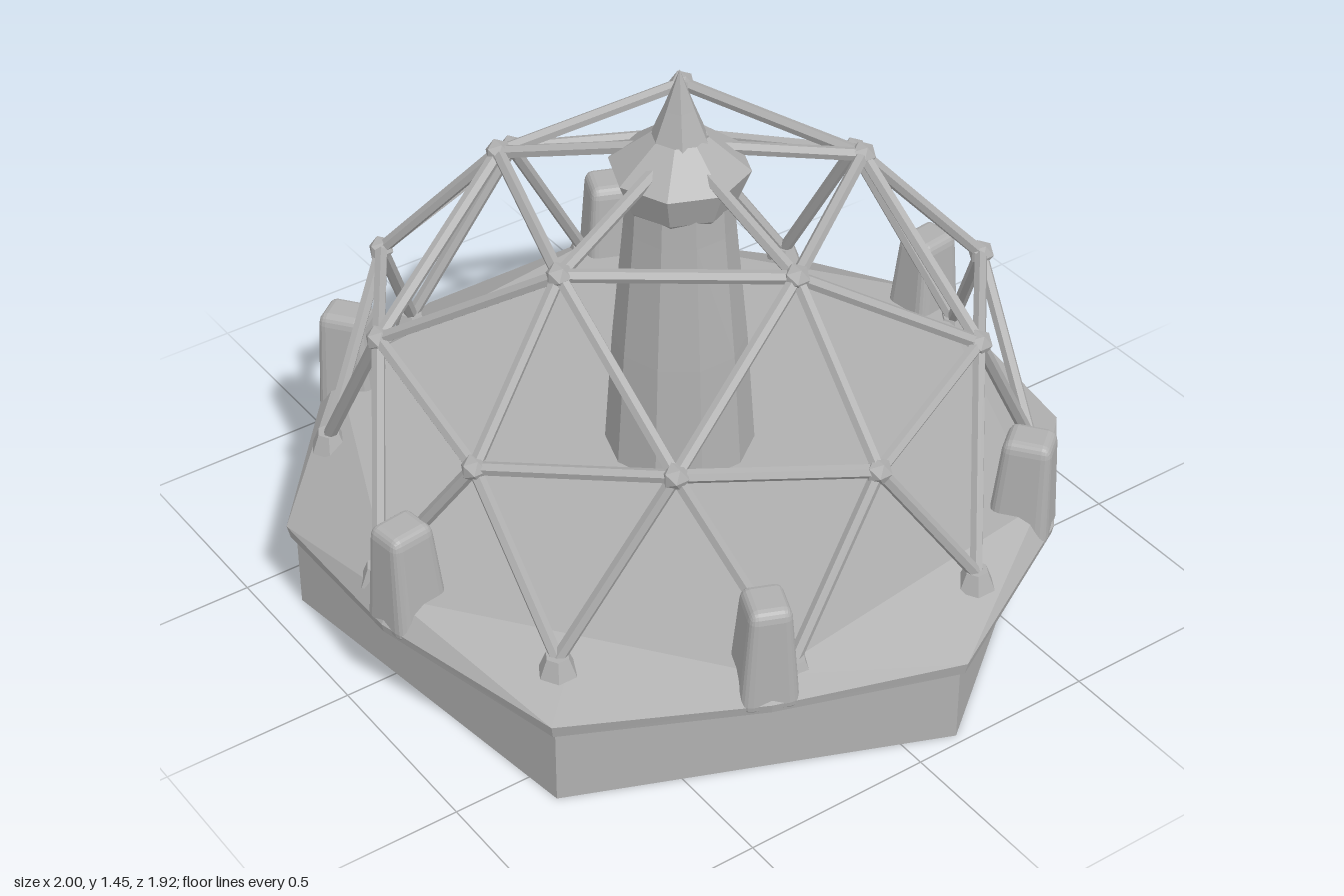
import * as THREE from 'three';
import { RoundedBoxGeometry } from 'three/addons/geometries/RoundedBoxGeometry.js';

const stone = new THREE.MeshStandardMaterial({ color: 0xb0b0b0, flatShading: true });
stone.name = 'grey stone';

const rad = THREE.MathUtils.degToRad;
const polar = (r, y, deg) => new THREE.Vector3(r * Math.cos(rad(deg)), y, r * Math.sin(rad(deg)));
const CORNER = 52.5; // direction of the first base corner

function addMesh(parent, geometry, name) {
  const mesh = new THREE.Mesh(geometry, stone);
  mesh.name = name;
  parent.add(mesh);
  return mesh;
}

// Hexagonal base and zigzag deck: loops of alternating corner and side-middle points
function baseGeometry() {
  const loops = [ // corner radius, corner y, middle radius, middle y
    [0.985, 0, 0.853, 0],
    [0.985, 0.2, 0.853, 0.2],
    [1.0, 0.21, 0.965, 0.275],
    [1.008, 0.245, 0.97, 0.3],
    [0.805, 0.36, 0.93, 0.36],
  ].map(([cr, cy, mr, my]) => Array.from({ length: 12 }, (_, i) =>
    i % 2 ? polar(mr, my, CORNER + i * 30) : polar(cr, cy, CORNER + i * 30)));
  const points = [];
  for (let i = 0; i < 12; i++) {
    const j = (i + 1) % 12;
    for (let k = 0; k < loops.length - 1; k++) {
      const l0 = loops[k][i], l1 = loops[k][j], u0 = loops[k + 1][i], u1 = loops[k + 1][j];
      if (i % 2) points.push(l0, u0, l1, u0, u1, l1);
      else points.push(l0, u0, u1, l0, u1, l1);
    }
    const top = loops[4], bottom = loops[0];
    points.push(new THREE.Vector3(0, 0.36, 0), top[j], top[i]);
    points.push(new THREE.Vector3(0, 0, 0), bottom[i], bottom[j]);
  }
  const geometry = new THREE.BufferGeometry().setFromPoints(points);
  geometry.computeVertexNormals();
  return geometry;
}

// Tapered rounded post, outer face (+z) nearly upright, inner face leaning outward
function postGeometry() {
  const geometry = new RoundedBoxGeometry(0.15, 0.3, 0.16, 2, 0.03);
  const p = geometry.attributes.position;
  for (let i = 0; i < p.count; i++) {
    const t = p.getY(i) / 0.3 + 0.5;
    p.setX(i, p.getX(i) * (1 - 0.32 * t));
    p.setZ(i, 0.08 + (p.getZ(i) - 0.08) * (1 - 0.25 * t) - 0.01 * t);
  }
  geometry.computeVertexNormals();
  return geometry;
}

// Geodesic dome: apex, three rings of nodes, and struts between neighbours
function buildDome() {
  const dome = new THREE.Group();
  dome.name = 'dome';
  const R = 0.89, Y = 0.36;
  const apex = new THREE.Vector3(0, 1.235, 0);
  const node = (tilt, deg) => polar(R * Math.sin(rad(tilt)), Y + R * Math.cos(rad(tilt)), deg);
  const upper = [], middle = [], foot = [];
  for (let i = 0; i < 5; i++) upper.push(node(31.7, i * 72));
  for (let i = 0; i < 10; i++) {
    middle.push(node(i % 2 ? 58.3 : 63.4, i * 36));
    foot.push(node(90.5, i * 36 + 18));
  }

  const up = new THREE.Vector3(0, 1, 0);
  const strut = (a, b) => {
    const d = b.clone().sub(a);
    const mesh = addMesh(dome, new THREE.CylinderGeometry(0.017, 0.017, d.length(), 6), 'strut');
    mesh.position.copy(a).addScaledVector(d, 0.5);
    mesh.quaternion.setFromUnitVectors(up, d.normalize());
  };
  for (let i = 0; i < 5; i++) {
    strut(apex, upper[i]);
    strut(upper[i], upper[(i + 1) % 5]);
    for (const s of [-1, 0, 1]) strut(upper[i], middle[(2 * i + s + 10) % 10]);
  }
  for (let i = 0; i < 10; i++) {
    strut(middle[i], middle[(i + 1) % 10]);
    strut(middle[i], foot[i]);
    strut(middle[i], foot[(i + 9) % 10]);
  }

  for (const p of [...upper, ...middle]) {
    addMesh(dome, new THREE.IcosahedronGeometry(0.034, 0), 'joint').position.copy(p);
  }
  for (const p of foot) {
    const pad = addMesh(dome, new THREE.CylinderGeometry(0.03, 0.05, 0.05, 6), 'footPad');
    pad.position.set(p.x, 0.34, p.z);
  }
  return dome;
}

export function createModel() {
  const model = new THREE.Group();
  model.name = 'domedTower';

  addMesh(model, baseGeometry(), 'base');

  // Posts on the middle of each side
  const post = postGeometry();
  for (let i = 0; i < 6; i++) {
    const deg = CORNER + 30 + i * 60;
    const mesh = addMesh(model, post, 'post');
    mesh.position.copy(polar(0.885, 0.415, deg));
    mesh.rotation.y = Math.PI / 2 - rad(deg);
  }

  // Central tower with flared head and spire
  const lathe = (profile, sides) =>
    new THREE.LatheGeometry(profile.map(([r, y]) => new THREE.Vector2(r, y)), sides);
  addMesh(model, lathe([[0.19, 0.35], [0.168, 0.68], [0.137, 1.02], [0.132, 1.1]], 10), 'tower');
  addMesh(model, lathe([[0.12, 1.07], [0.14, 1.09], [0.175, 1.18], [0.07, 1.265]], 8), 'towerHead');
  addMesh(model, lathe([[0.075, 1.255], [0.04, 1.34], [0, 1.445]], 6), 'spire');

  model.add(buildDome());
  return model;
}
